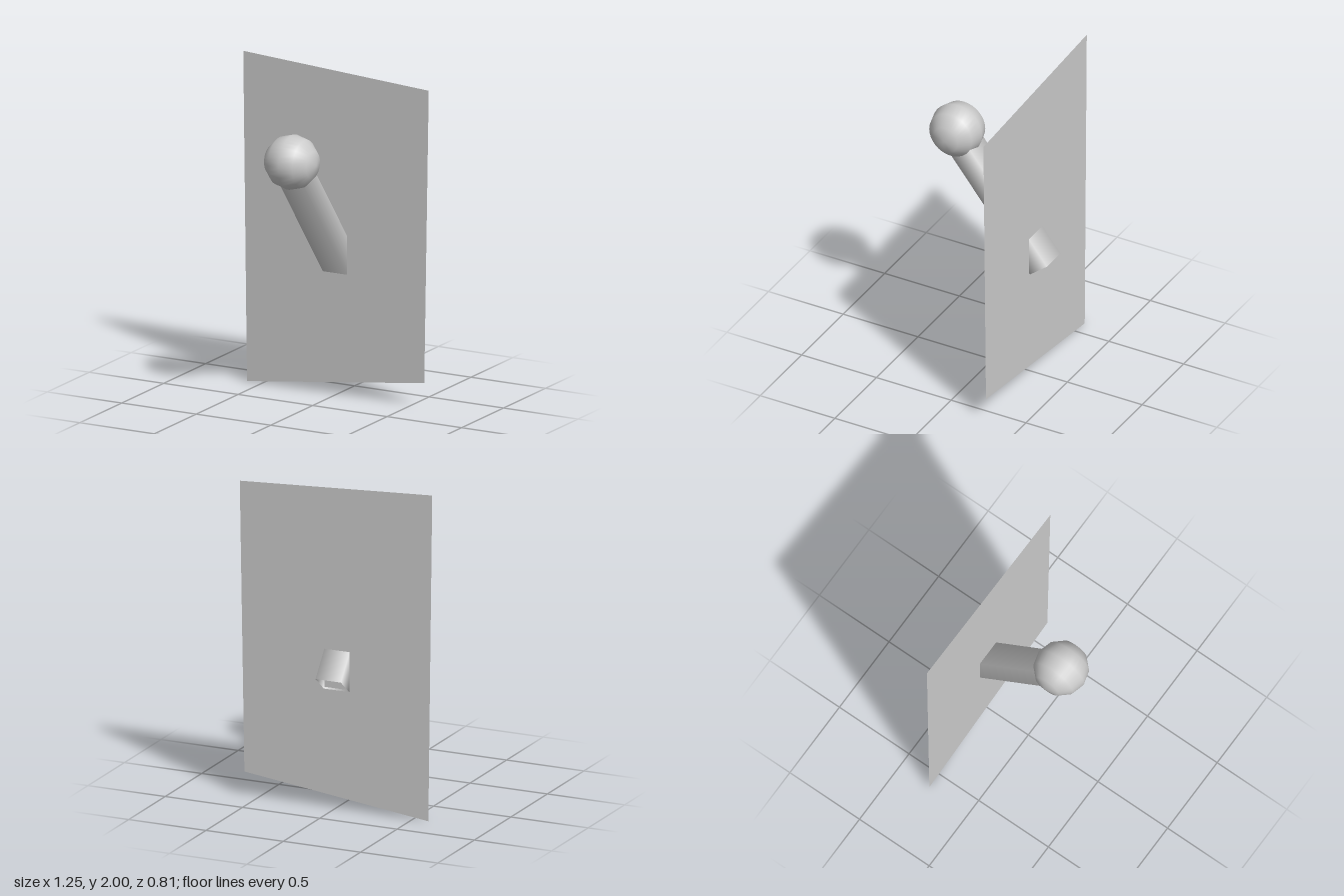
import * as THREE from 'three';

export function createModel() {
  const group = new THREE.Group();
  const material = new THREE.MeshStandardMaterial({ color: 0xcccccc, side: THREE.DoubleSide });
  const add = (name, geometry) => {
    const mesh = new THREE.Mesh(geometry, material);
    mesh.name = name;
    group.add(mesh);
    return mesh;
  };

  // Thin, slightly skewed upright plate
  const outline = [[-0.6, 0], [0.59, 0.147], [0.62, 1.925], [-0.625, 2]];
  const plateShape = new THREE.Shape(outline.map(([x, y]) => new THREE.Vector2(x, y)));
  add('backPlate', new THREE.ShapeGeometry(plateShape)).position.z = -0.283;

  // Hollow four-sided lever with smooth normals, tilted forward through the plate
  const length = 0.92;
  const tilt = THREE.MathUtils.degToRad(90 - 51.6);
  const leverGeometry = new THREE.CylinderGeometry(Math.SQRT1_2, Math.SQRT1_2, length, 4, 1, true);
  leverGeometry.rotateY(Math.PI / 4);
  leverGeometry.scale(0.164, 1, 0.145);
  leverGeometry.translate(0, length / 2, 0);
  const lever = add('lever', leverGeometry);
  lever.rotation.x = tilt;
  lever.position.set(-0.009, 0.771, -0.347);

  // Ball knob: poles lie sideways, few rings from pole to pole
  const knobGeometry = new THREE.SphereGeometry(0.164, 32, 6);
  knobGeometry.rotateZ(Math.PI / 2);
  add('knob', knobGeometry).position.set(-0.004, 1.533, 0.239);

  return group;
}
